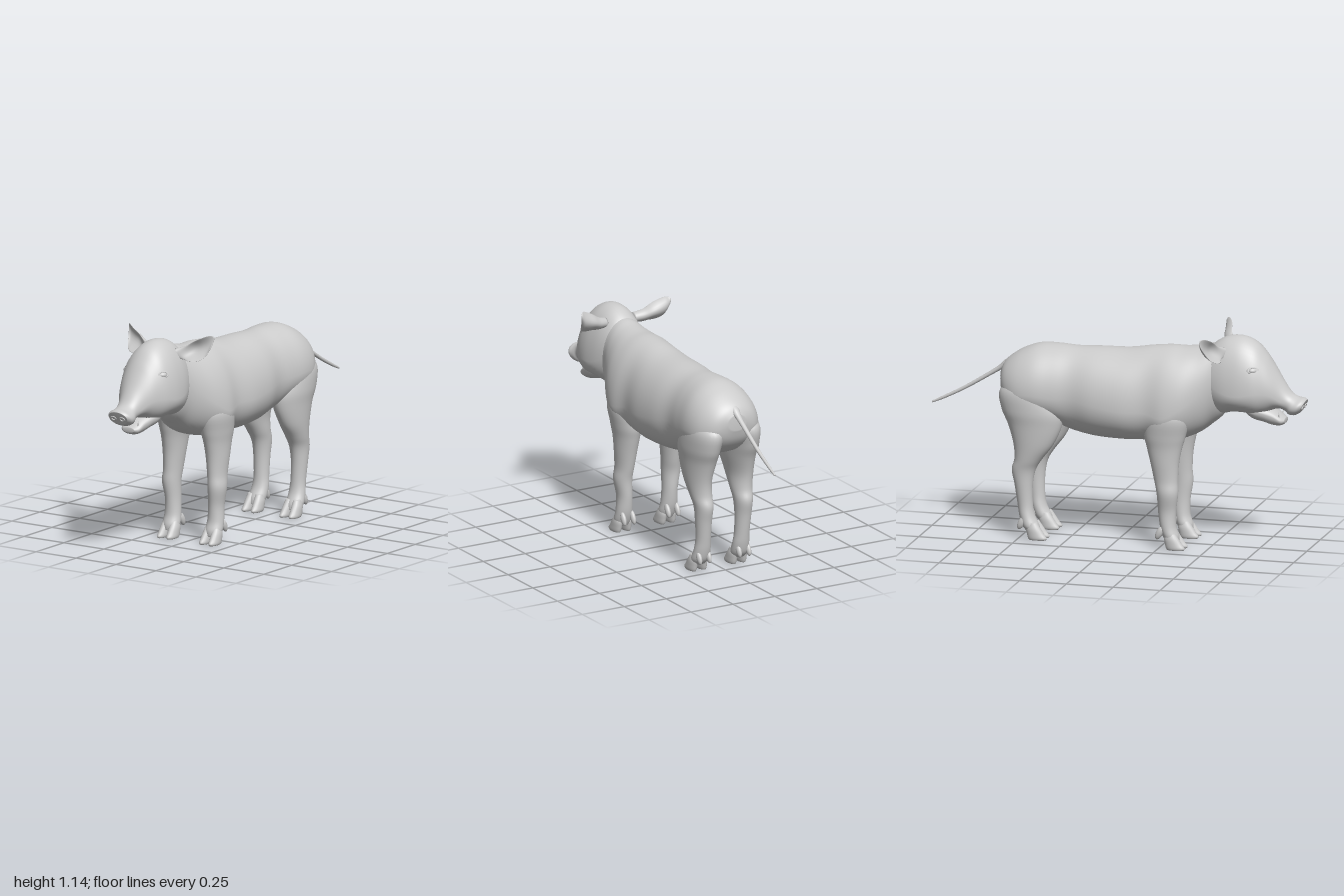
import * as THREE from 'three';

const skin = new THREE.MeshStandardMaterial({ color: 0xcccccc });

// Smooth interpolation of every column in a table of cross-sections
function sample(rows, t) {
  const i = Math.min(Math.floor(t), rows.length - 2), f = t - i;
  const a = rows[Math.max(i - 1, 0)], b = rows[i], c = rows[i + 1], d = rows[Math.min(i + 2, rows.length - 1)];
  return b.map((p, k) => p + 0.5 * f * (c[k] - a[k] +
    f * (2 * a[k] - 5 * p + 4 * c[k] - d[k] + f * (3 * (p - c[k]) + d[k] - a[k]))));
}

// Closed skin through the cross-sections; ring(row, angle) gives a point [x, y, z]
function loft(name, rows, ring, sides = 40, steps = 5) {
  const pos = [], index = [], n = (rows.length - 1) * steps;
  for (let i = 0; i <= n; i++) {
    const row = sample(rows, i / steps);
    for (let j = 0; j < sides; j++) pos.push(...ring(row, j / sides * Math.PI * 2));
  }
  for (let i = 0; i < n; i++) for (let j = 0; j < sides; j++) {
    const a = i * sides + j, b = i * sides + (j + 1) % sides;
    index.push(a, b, a + sides, b, b + sides, a + sides);
  }
  // End caps
  for (const [start, flip] of [[0, true], [n * sides, false]]) {
    const c = [0, 0, 0], id = pos.length / 3;
    for (let j = 0; j < sides; j++) for (let k = 0; k < 3; k++) c[k] += pos[(start + j) * 3 + k] / sides;
    pos.push(...c);
    for (let j = 0; j < sides; j++) {
      const a = start + j, b = start + (j + 1) % sides;
      index.push(id, flip ? b : a, flip ? a : b);
    }
  }
  // Turn the faces outwards if the enclosed volume comes out negative
  let volume = 0;
  const v = k => new THREE.Vector3().fromArray(pos, index[k] * 3);
  for (let k = 0; k < index.length; k += 3) volume += v(k).dot(v(k + 1).cross(v(k + 2)));
  if (volume < 0) index.reverse();
  const geo = new THREE.BufferGeometry();
  geo.setAttribute('position', new THREE.Float32BufferAttribute(pos, 3));
  geo.setIndex(index);
  geo.computeVertexNormals();
  return named(name, geo);
}

function named(name, geo) {
  const mesh = new THREE.Mesh(geo, skin);
  mesh.name = name;
  return mesh;
}

// Egg-shaped section along z: [z, bottom, top, half width, height of widest point, forward slant]
function egg([z, bottom, top, w, wide, slant = 0], a) {
  const s = Math.sin(a), c = Math.cos(a);
  const y = wide + s * (s > 0 ? top - wide : wide - bottom);
  const power = s < 0 ? 0.85 : 1;
  return [w * Math.sign(c) * Math.abs(c) ** power, y, z + slant * (y - top)];
}

// Oval section up a limb: [y, inner x, outer x, back z, front z], mirrored by side
const oval = side => ([y, x0, x1, z0, z1], a) =>
  [side * ((x0 + x1) / 2 + (x1 - x0) / 2 * Math.cos(a)), y, (z0 + z1) / 2 + (z1 - z0) / 2 * Math.sin(a)];

const BODY = [
  [.61, .80, 1.02, .07, .92], [.56, .70, 1.07, .115, .88], [.50, .645, 1.07, .135, .85],
  [.44, .60, 1.055, .165, .80], [.36, .565, 1.045, .203, .74], [.28, .55, 1.045, .217, .70],
  [.18, .545, 1.035, .202, .72], [.05, .54, 1.015, .215, .72], [-.10, .545, 1.01, .207, .74],
  [-.22, .565, 1.005, .185, .76], [-.32, .60, 1.01, .192, .76], [-.42, .62, 1.007, .20, .77],
  [-.50, .64, .98, .19, .77], [-.56, .68, .945, .16, .78], [-.60, .73, .91, .115, .80], [-.622, .79, .87, .05, .83]];

const HEAD = [
  [.46, .80, .98, .08, .90, 0], [.50, .73, 1.06, .115, .88, 0], [.56, .71, 1.105, .14, .85, 0],
  [.62, .722, 1.12, .153, .83, 0], [.68, .722, 1.115, .156, .83, 0], [.74, .715, 1.085, .146, .84, 0],
  [.79, .725, 1.03, .122, .84, 0], [.83, .745, .97, .10, .83, 0], [.88, .75, .89, .073, .80, .1],
  [.92, .738, .835, .062, .785, .3], [.955, .722, .815, .068, .768, .5], [.985, .72, .81, .07, .765, .5],
  [1.0, .733, .80, .056, .768, .5]];

const JAW = [
  [.66, .74, .78, .06, .76], [.72, .692, .78, .088, .745], [.78, .675, .768, .08, .73],
  [.83, .66, .745, .066, .712], [.87, .662, .715, .055, .69], [.89, .675, .70, .035, .688]];

const TAIL = [
  [-.57, .86, .93, .035, .895], [-.61, .86, .905, .022, .882], [-.66, .832, .86, .014, .846],
  [-.82, .735, .757, .010, .746], [-.94, .674, .692, .008, .683], [-1.0, .65, .66, .004, .655]];

const FRONT_LEG = [
  [.80, .08, .17, .25, .36], [.70, .04, .213, .18, .41], [.60, .055, .205, .17, .39],
  [.53, .07, .195, .185, .37], [.45, .08, .19, .205, .355], [.36, .09, .185, .225, .35],
  [.29, .095, .19, .24, .352], [.20, .095, .175, .245, .34], [.12, .09, .178, .255, .34],
  [.07, .085, .18, .27, .355], [.04, .095, .17, .285, .355]];

const HIND_LEG = [
  [.86, .06, .14, -.50, -.40], [.78, .02, .19, -.605, -.32], [.68, .03, .20, -.595, -.27],
  [.60, .04, .193, -.56, -.275], [.50, .06, .185, -.53, -.32], [.42, .065, .175, -.525, -.38],
  [.36, .07, .165, -.54, -.415], [.28, .075, .16, -.525, -.43], [.18, .075, .155, -.51, -.43],
  [.12, .07, .16, -.50, -.42], [.07, .07, .165, -.485, -.395], [.04, .08, .155, -.46, -.39]];

// One toe, measured from the foot's centre line and its front tip
const TOE = [
  [.09, .004, .042, -.10, -.055], [.06, .002, .05, -.11, -.035], [.03, .004, .052, -.105, -.015],
  [.01, .006, .052, -.10, 0], [0, .01, .048, -.095, -.005]];

// Cupped ear, base to tip: [x, lower y, upper y, middle z, thickness, cup depth]
const EAR = [
  [.08, 1.02, 1.07, .575, .03, 0], [.13, 1.015, 1.085, .548, .02, .02], [.17, 1.012, 1.11, .525, .012, .045],
  [.21, 1.015, 1.13, .515, .009, .045], [.24, 1.035, 1.143, .508, .007, .03],
  [.258, 1.085, 1.144, .503, .005, .01], [.266, 1.118, 1.135, .502, .002, 0]];

function foot(name, side, cx, tip) {
  const group = new THREE.Group();
  group.name = name;
  for (const toe of [-1, 1]) {
    const rows = TOE.map(([y, a, b, z0, z1]) => {
      const xs = [cx + toe * a, cx + toe * b].sort((p, q) => p - q);
      return [y, ...xs, tip + z0, tip + z1];
    });
    group.add(loft('toe', rows, oval(side), 20, 4));
    // Small claw hanging behind the ankle
    const claw = named('dewclaw', new THREE.SphereGeometry(1, 14, 10));
    claw.scale.set(.014, .038, .018);
    claw.position.set(side * (cx + toe * .028), .085, tip - .135);
    claw.rotation.x = .45;
    group.add(claw);
  }
  return group;
}

function eye(side) {
  const group = new THREE.Group();
  group.name = 'eye';
  const ball = named('eyeball', new THREE.SphereGeometry(.018, 18, 12));
  ball.scale.set(1.15, .75, .6);
  group.add(ball);
  // Upper lid is heavier than the lower one
  for (const [turn, thick] of [[0, .007], [Math.PI, .0045]]) {
    const lid = named('eyelid', new THREE.TorusGeometry(.021, thick, 8, 18, Math.PI));
    lid.scale.set(1.2, .75, 1);
    lid.rotation.z = turn;
    group.add(lid);
  }
  group.position.set(side * .117, .965, .745);
  group.lookAt(side * .92, 1.27, 1.25);
  return group;
}

export function createModel() {
  const model = new THREE.Group();
  model.name = 'piglet';
  model.add(loft('body', BODY, egg, 56), loft('head', HEAD, egg, 56),
    loft('lowerJaw', JAW, egg, 32), loft('tail', TAIL, egg, 16));

  for (const side of [1, -1]) {
    const label = side > 0 ? 'left' : 'right';
    model.add(loft(label + 'FrontLeg', FRONT_LEG, oval(side), 32));
    model.add(loft(label + 'HindLeg', HIND_LEG, oval(side), 32));
    model.add(foot(label + 'FrontFoot', side, .132, .393));
    model.add(foot(label + 'HindFoot', side, .118, -.347));
    model.add(loft(label + 'Ear', EAR, ([x, y0, y1, z, thick, cup], a) => {
      const c = Math.cos(a);
      return [side * x, (y0 + y1) / 2 + (y1 - y0) / 2 * c, z + cup * c * c - cup * .4 * c + thick * Math.sin(a)];
    }, 28));
    model.add(eye(side));

    // Raised nostril rim on the slanted snout disc
    const nostril = named('nostril', new THREE.TorusGeometry(.012, .004, 8, 20));
    nostril.scale.set(1.15, .9, 1);
    nostril.position.set(side * .027, .764, .983);
    nostril.rotation.x = .46;
    model.add(nostril);

    // Short tusks on the lower jaw
    const tusk = named('tusk', new THREE.ConeGeometry(.007, .035, 10));
    tusk.position.set(side * .042, .72, .862);
    tusk.rotation.z = -side * .15;
    model.add(tusk);
  }
  return model;
}
